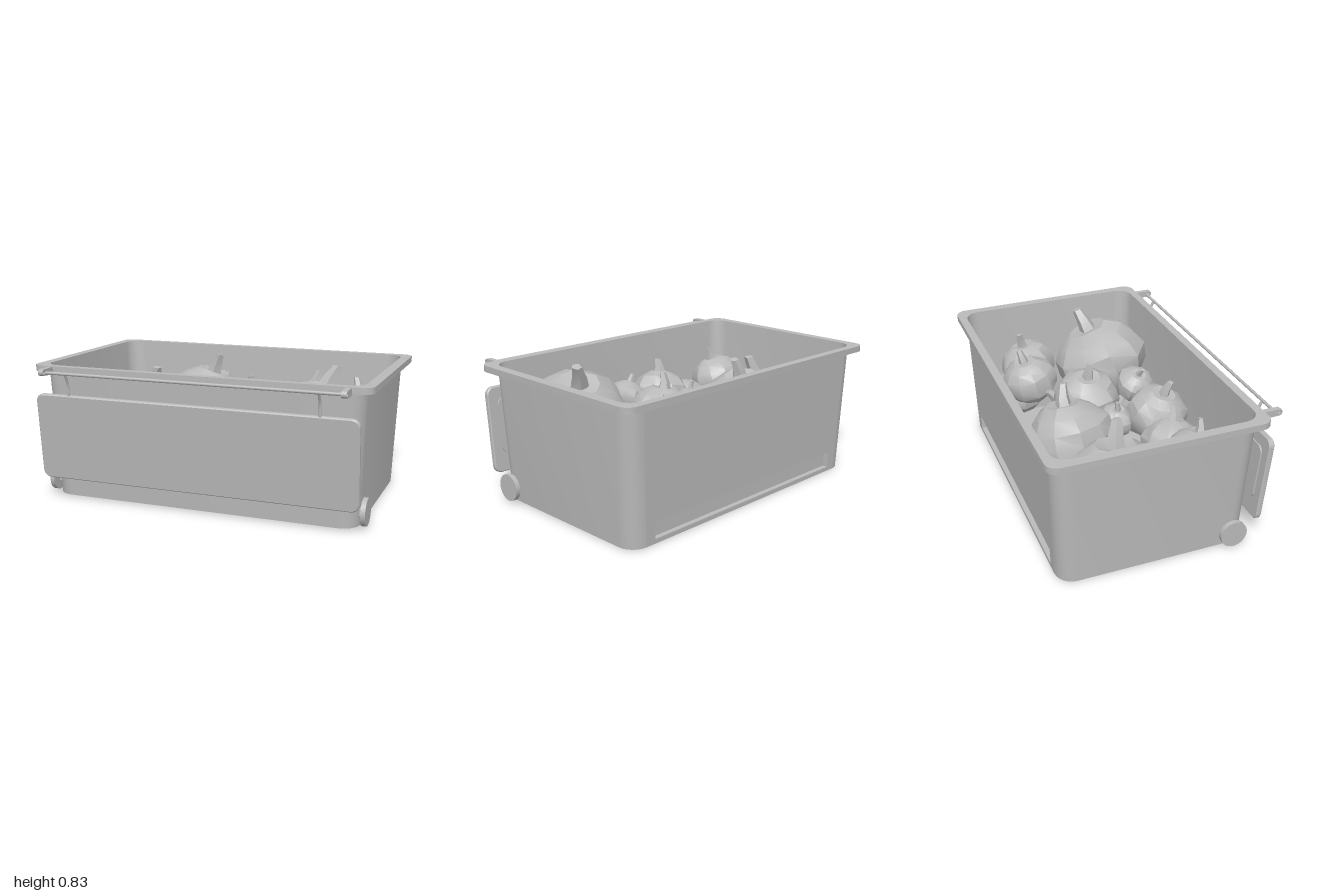
import * as THREE from 'three';
import { toCreasedNormals, mergeVertices } from 'three/addons/utils/BufferGeometryUtils.js';

const grey = new THREE.MeshStandardMaterial({ color: 0xbababa, side: THREE.DoubleSide });
grey.name = 'plain grey';

function add(parent, name, geometry, x = 0, y = 0, z = 0) {
  const mesh = new THREE.Mesh(geometry, grey);
  mesh.name = name;
  mesh.position.set(x, y, z);
  parent.add(mesh);
  return mesh;
}

function geometryFrom(positions) {
  const g = new THREE.BufferGeometry();
  g.setAttribute('position', new THREE.Float32BufferAttribute(positions, 3));
  g.computeVertexNormals();
  return g;
}

// Rounded rectangle cross-section: half width, back z, front z, corner radius, height
const SEG = 6;
function ring([hx, z0, z1, r, y]) {
  const pts = [];
  [[1, z1 - r], [-1, z1 - r], [-1, z0 + r], [1, z0 + r]].forEach(([s, cz], q) => {
    for (let i = 0; i <= SEG; i++) {
      const a = (q + i / SEG) * Math.PI / 2;
      pts.push([s * (hx - r) + r * Math.cos(a), y, cz + r * Math.sin(a)]);
    }
  });
  return pts;
}

// Slot opening in the back wall
const SLOT = { x: 0.76, y0: 0.025, y1: 0.125, z: -0.572 };

function backWall(low, high) {
  const xl = low[0] - low[3], xh = high[0] - high[3];
  const shape = new THREE.Shape([[-xl, low[4]], [xl, low[4]], [xh, high[4]], [-xh, high[4]]]
    .map((p) => new THREE.Vector2(...p)));
  shape.holes.push(new THREE.Path([[-SLOT.x, SLOT.y0], [-SLOT.x, SLOT.y1], [SLOT.x, SLOT.y1], [SLOT.x, SLOT.y0]]
    .map((p) => new THREE.Vector2(...p))));
  const g = new THREE.ShapeGeometry(shape);
  const p = g.attributes.position;
  for (let i = 0; i < p.count; i++) {
    p.setZ(i, THREE.MathUtils.mapLinear(p.getY(i), low[4], high[4], low[1], high[1]));
  }
  g.computeVertexNormals();
  return g;
}

function buildTub(root) {
  const tub = new THREE.Group();
  tub.name = 'tub';
  const sections = [
    [0.92, -0.605, 0.48, 0.1, 0], [0.95, -0.622, 0.524, 0.1, 0.755],
    [1, -0.665, 0.565, 0.065, 0.755], [1, -0.665, 0.565, 0.065, 0.791],
    [0.943, -0.617, 0.518, 0.09, 0.791], [0.907, -0.592, 0.467, 0.09, 0.015],
  ];
  const rings = sections.map(ring);
  const n = rings[0].length, backEdge = 3 * (SEG + 1) - 1, pos = [];
  for (let k = 0; k < rings.length - 1; k++) {
    for (let j = 0; j < n; j++) {
      if (j === backEdge && (k === 0 || k === 4)) continue;
      const a = rings[k][j], b = rings[k + 1][j], m = (j + 1) % n;
      const c = rings[k + 1][m], d = rings[k][m];
      pos.push(...a, ...b, ...c, ...a, ...c, ...d);
    }
  }
  // Underside and inner floor
  const last = rings[rings.length - 1];
  for (let j = 0; j < n; j++) {
    const m = (j + 1) % n;
    pos.push(0, 0, 0, ...rings[0][j], ...rings[0][m]);
    pos.push(0, 0.015, 0, ...last[m], ...last[j]);
  }
  add(tub, 'tubShell', toCreasedNormals(geometryFrom(pos), 0.6));
  add(tub, 'outerBackWall', backWall(sections[0], sections[1]));
  add(tub, 'innerBackWall', backWall(sections[5], sections[4]));

  // Recessed slot pressed into the back wall
  const h = SLOT.y1 - SLOT.y0, d = SLOT.z + 0.606, my = (SLOT.y0 + SLOT.y1) / 2, mz = SLOT.z - d / 2;
  add(tub, 'slotBack', new THREE.BoxGeometry(SLOT.x * 2, h, 0.008), 0, my, SLOT.z);
  for (const s of [-1, 1]) {
    add(tub, 'slotEnd', new THREE.BoxGeometry(0.004, h, d), s * SLOT.x, my, mz);
    add(tub, 'slotLedge', new THREE.BoxGeometry(SLOT.x * 2, 0.004, d), 0, my + s * h / 2, mz);
  }
  tub.rotation.x = -0.009;
  tub.position.y = 0.005;
  root.add(tub);
}

function buildWheelsAndHinge(root) {
  const arm = new THREE.Shape();
  arm.moveTo(0.53, 0.757);
  arm.lineTo(0.58, 0.757);
  arm.lineTo(0.645, 0.76);
  arm.absarc(0.648, 0.779, 0.019, -Math.PI / 2, Math.PI / 2, false);
  arm.lineTo(0.53, 0.798);
  const eye = new THREE.Path();
  eye.absarc(0.65, 0.779, 0.009, 0, Math.PI * 2, true);
  arm.holes.push(eye);
  const armGeo = new THREE.ExtrudeGeometry(arm, { depth: 0.03, bevelEnabled: false, curveSegments: 8 });
  armGeo.rotateY(-Math.PI / 2);
  const wire = new THREE.CatmullRomCurve3([[0.63, 0.772], [0.618, 0.75], [0.602, 0.71], [0.598, 0.64]]
    .map(([z, y]) => new THREE.Vector3(0, y, z)));
  const wireGeo = new THREE.TubeGeometry(wire, 12, 0.008, 6);
  const wheelGeo = new THREE.CylinderGeometry(0.079, 0.079, 0.027, 32);
  wheelGeo.rotateZ(Math.PI / 2);
  for (const s of [-1, 1]) {
    add(root, 'wheel', wheelGeo, s * 0.951, 0.091, 0.395);
    add(root, 'axle', new THREE.BoxGeometry(0.06, 0.045, 0.045), s * 0.915, 0.091, 0.39);
    add(root, 'hingeArm', armGeo, s * 0.875 + 0.015, 0, 0);
    add(root, 'panelHook', wireGeo, s * 0.738, 0, 0);
  }
  const bar = new THREE.CylinderGeometry(0.009, 0.009, 1.74, 10);
  bar.rotateZ(Math.PI / 2);
  add(root, 'hingeBar', bar, 0, 0.776, 0.632);
}

function roundedPanel(w, h, r, depth, bevel) {
  const s = new THREE.Shape(), x = w / 2 - r, y = h / 2 - r;
  [[x, y], [-x, y], [-x, -y], [x, -y]].forEach(([cx, cy], q) =>
    s.absarc(cx, cy, r, q * Math.PI / 2, (q + 1) * Math.PI / 2, false));
  s.closePath();
  const g = new THREE.ExtrudeGeometry(s, {
    depth, curveSegments: 6, bevelEnabled: bevel > 0, bevelSize: bevel,
    bevelThickness: bevel, bevelOffset: -bevel, bevelSegments: 1,
  });
  g.translate(0, 0, -depth / 2);
  return g;
}

// Hanging front panel, leaning in towards its foot
function buildPanel(root) {
  const panel = new THREE.Group();
  panel.name = 'frontPanel';
  add(panel, 'panelBoard', roundedPanel(1.9, 0.512, 0.045, 0.02, 0.006));
  add(panel, 'panelBack', roundedPanel(1.78, 0.33, 0.04, 0.012, 0), 0, 0.02, -0.02);
  panel.position.set(0, 0.39, 0.569);
  panel.rotation.x = 0.09;
  root.add(panel);
}

let seed = 7;
const random = () => (seed = (seed * 16807) % 2147483647) / 2147483647;

function buildGourd(root, [x, y, z, r, sx, sz]) {
  const gourd = new THREE.Group();
  gourd.name = 'gourd';
  // Irregular squashed ball with a dip at the crown
  let body = new THREE.SphereGeometry(1, 10, 8);
  body.deleteAttribute('uv');
  body.deleteAttribute('normal');
  body = mergeVertices(body, 1e-4);
  const p = body.attributes.position;
  for (let i = 0; i < p.count; i++) {
    const px = p.getX(i), py = p.getY(i), pz = p.getZ(i), k = r * (0.97 + random() * 0.08);
    const dip = Math.abs(py) > 0.99 ? 0.84 : 1;
    p.setXYZ(i, px * k, py * k * 0.86 * dip, pz * k);
  }
  add(gourd, 'gourdBody', toCreasedNormals(body, 0.5));
  // Bent, tapering stalk
  const stalk = new THREE.CylinderGeometry(r * 0.1, r * 0.2, r * 0.55, 5, 2);
  stalk.translate(0, r * 0.27, 0);
  const q = stalk.attributes.position;
  for (let i = 0; i < q.count; i++) q.setX(i, q.getX(i) + (q.getY(i) ** 2) / r * 0.4);
  const mesh = add(gourd, 'gourdStalk', toCreasedNormals(stalk, 0.4), 0, r * 0.7, 0);
  mesh.rotation.y = random() * 6;
  // Lean the crown towards the stalk's place
  gourd.quaternion.setFromUnitVectors(new THREE.Vector3(0, 1, 0),
    new THREE.Vector3(sx - x, r * 0.9, sz - z).normalize());
  gourd.position.set(x, y, z);
  root.add(gourd);
}

export function createModel() {
  const root = new THREE.Group();
  root.name = 'tubOfGourds';
  buildTub(root);
  buildWheelsAndHinge(root);
  buildPanel(root);
  // Centre x, y, z, radius, stalk x, z
  [
    [-0.61, 0.34, -0.17, 0.3, -0.57, -0.16], [-0.26, 0.48, -0.31, 0.25, -0.2, -0.34],
    [-0.67, 0.47, 0.27, 0.17, -0.65, 0.32], [-0.34, 0.36, 0.28, 0.175, -0.3, 0.33],
    [-0.14, 0.45, 0.28, 0.185, -0.18, 0.31], [-0.14, 0.45, 0.01, 0.11, -0.16, 0.02],
    [0.17, 0.46, -0.06, 0.2, 0.14, -0.06], [0.21, 0.25, -0.13, 0.235, 0.26, -0.23],
    [0.16, 0.5, 0.26, 0.12, 0.11, 0.27], [0.11, 0.32, 0.32, 0.17, 0.1, 0.32],
    [0.6, 0.48, 0.2, 0.3, 0.65, 0.1], [0.45, 0.5, -0.34, 0.17, 0.45, -0.38],
    [0.73, 0.47, -0.27, 0.18, 0.74, -0.31], [0.65, 0.32, -0.37, 0.165, 0.65, -0.38],
    [-0.08, 0.35, -0.38, 0.13, -0.06, -0.38],
  ].forEach((g) => buildGourd(root, g));
  return root;
}
